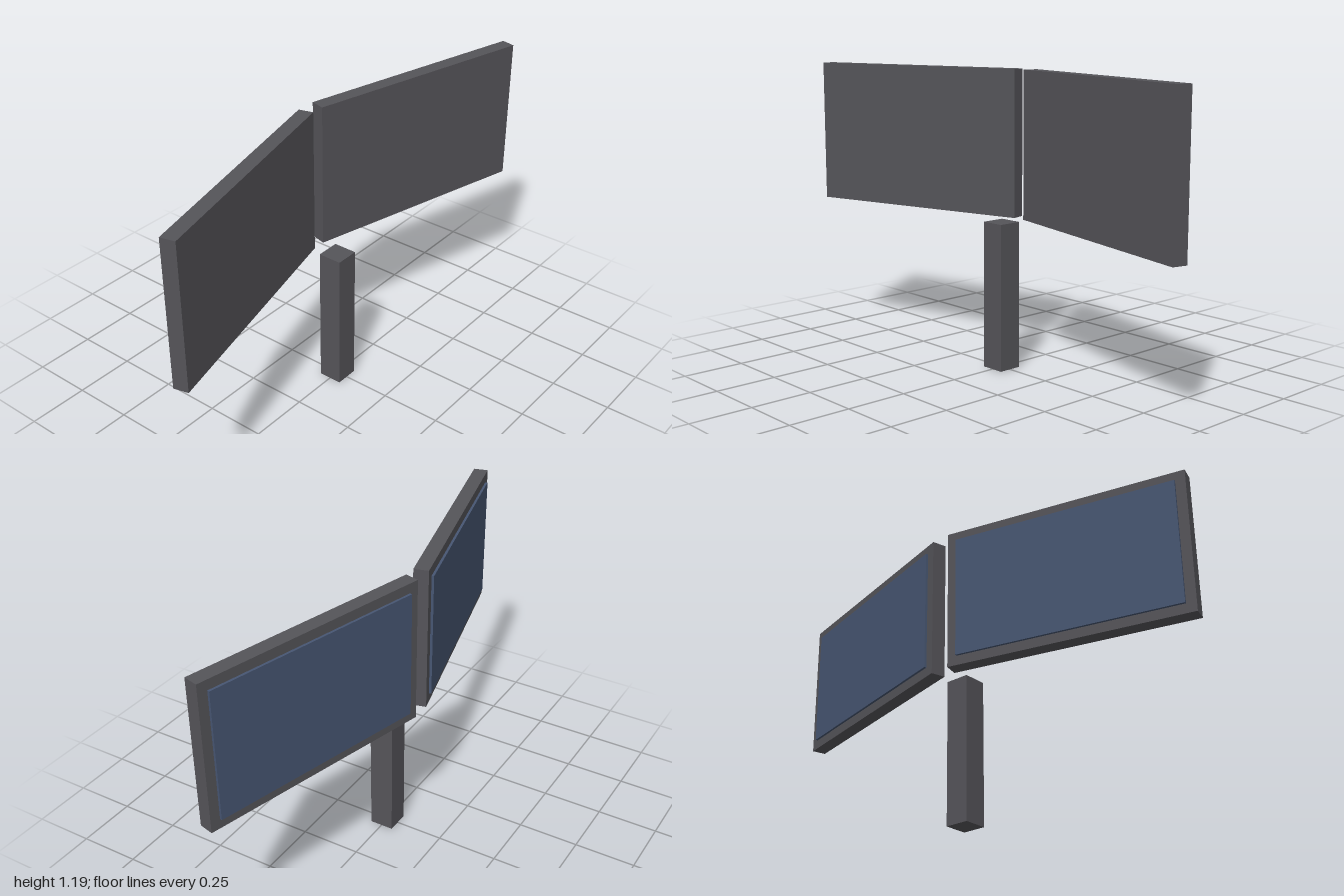
import * as THREE from 'three';

export function createModel() {
  const model = new THREE.Group();
  const frameGrey = new THREE.MeshStandardMaterial({ name: 'frame grey', color: 0x555459 });
  const screenBlue = new THREE.MeshStandardMaterial({ name: 'screen blue', color: 0x475672 });

  function addBox(parent, name, material, [w, h, d], [x, y, z]) {
    const mesh = new THREE.Mesh(new THREE.BoxGeometry(w, h, d), material);
    mesh.name = name;
    mesh.position.set(x, y, z);
    parent.add(mesh);
  }

  // Square support post
  addBox(model, 'post', frameGrey, [0.099, 0.594, 0.099], [0, 0.297, 0]);

  // Two angled panels, each with a raised screen on its back
  for (const side of [1, -1]) {
    const panel = new THREE.Group();
    panel.name = side > 0 ? 'leftPanel' : 'rightPanel';
    addBox(panel, 'panelFrame', frameGrey, [0.99, 0.594, 0.0594], [0, 0, 0]);
    addBox(panel, 'screen', screenBlue, [0.911, 0.515, 0.0198], [0, 0, -0.0297]);
    panel.position.set(side * 0.513, 0.891, 0);
    panel.rotation.y = -side * 0.25;
    model.add(panel);
  }
  return model;
}
